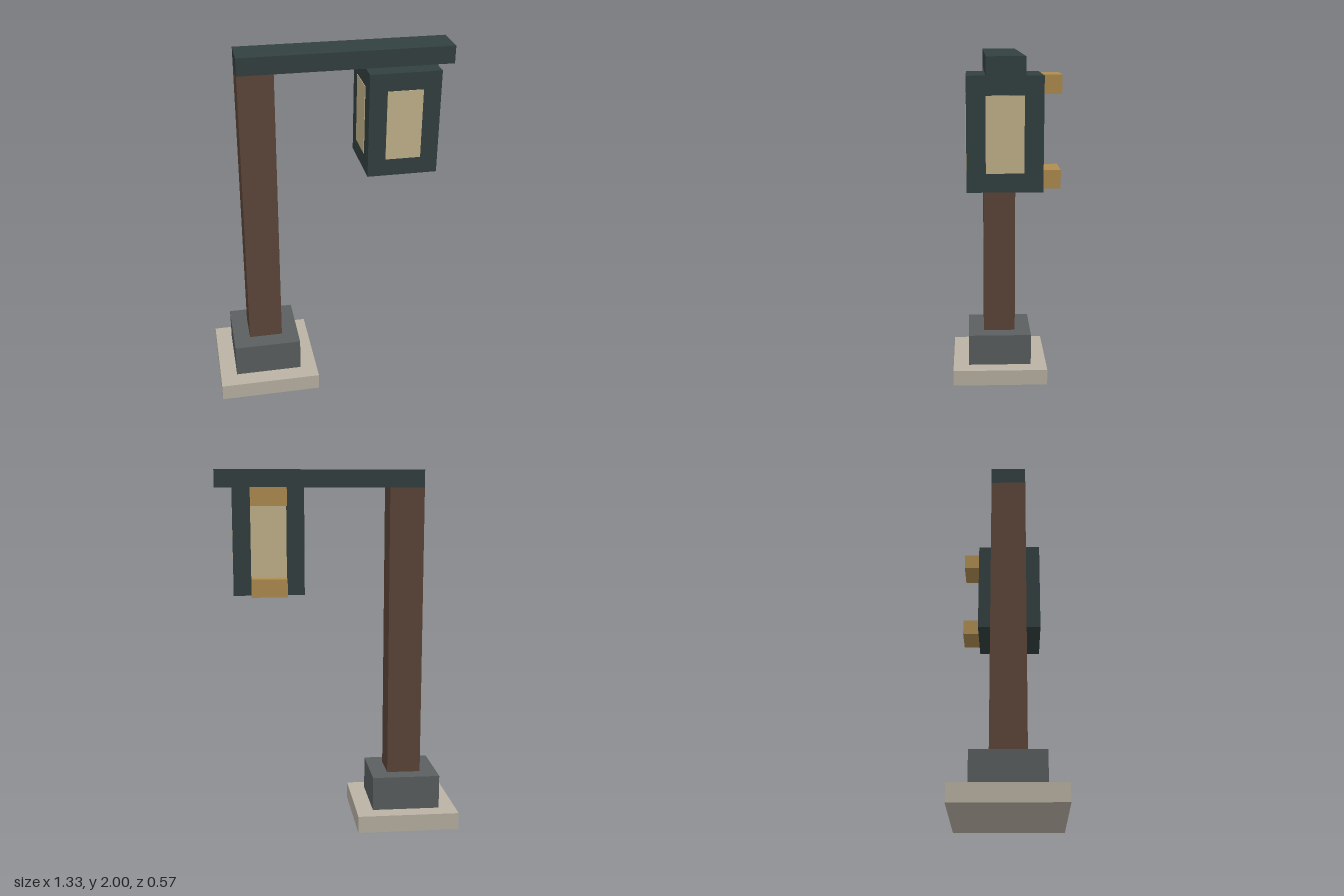
import * as THREE from 'three';

const U = 2 / 21; // block unit: the post is 21 units tall

const material = (name, color) => {
  const m = new THREE.MeshStandardMaterial({ color });
  m.name = name;
  return m;
};

export function createModel() {
  const stone = material('paleStone', 0xbab2a4);
  const slate = material('greySlate', 0x5b5f60);
  const wood = material('brownWood', 0x5d463a);
  const iron = material('darkIron', 0x334040);
  const glass = material('warmGlass', 0xc4b48c);
  const brass = material('brass', 0xb08d50);

  const model = new THREE.Group();
  model.name = 'lampPost';

  // Box given by its minimum and maximum corners in block units
  const block = (name, mat, min, max, parent = model) => {
    const size = max.map((v, i) => (v - min[i]) * U);
    const mesh = new THREE.Mesh(new THREE.BoxGeometry(...size), mat);
    mesh.position.set(...max.map((v, i) => ((v + min[i]) / 2) * U));
    mesh.name = name;
    parent.add(mesh);
    return mesh;
  };

  // Stepped footing, post and overhanging arm
  block('baseSlab', stone, [-7, 0, -3], [-1, 1, 3]);
  block('plinth', slate, [-6, 1, -2], [-2, 3, 2]);
  block('post', wood, [-5, 3, -1], [-3, 20, 1]);
  block('arm', iron, [-5, 20, -1], [7, 21, 1]);

  // Lantern hanging under the arm
  const lantern = new THREE.Group();
  lantern.name = 'lantern';
  model.add(lantern);
  block('lanternCase', iron, [2, 14, -2], [6, 20, 2], lantern);

  // One thin glowing pane on each of the four sides
  for (let i = 0; i < 4; i++) {
    const a = (i * Math.PI) / 2;
    const r = 2 * U + 0.001;
    const pane = new THREE.Mesh(new THREE.BoxGeometry(2 * U, 4 * U, 0.004), glass);
    pane.position.set(4 * U + Math.sin(a) * r, 17 * U, Math.cos(a) * r);
    pane.rotation.y = a;
    pane.name = 'windowPane';
    lantern.add(pane);
  }

  // Brass brackets above and below the back pane
  for (const y of [14, 19]) block('bracket', brass, [3, y, -3], [5, y + 1, -2], lantern);

  return model;
}
